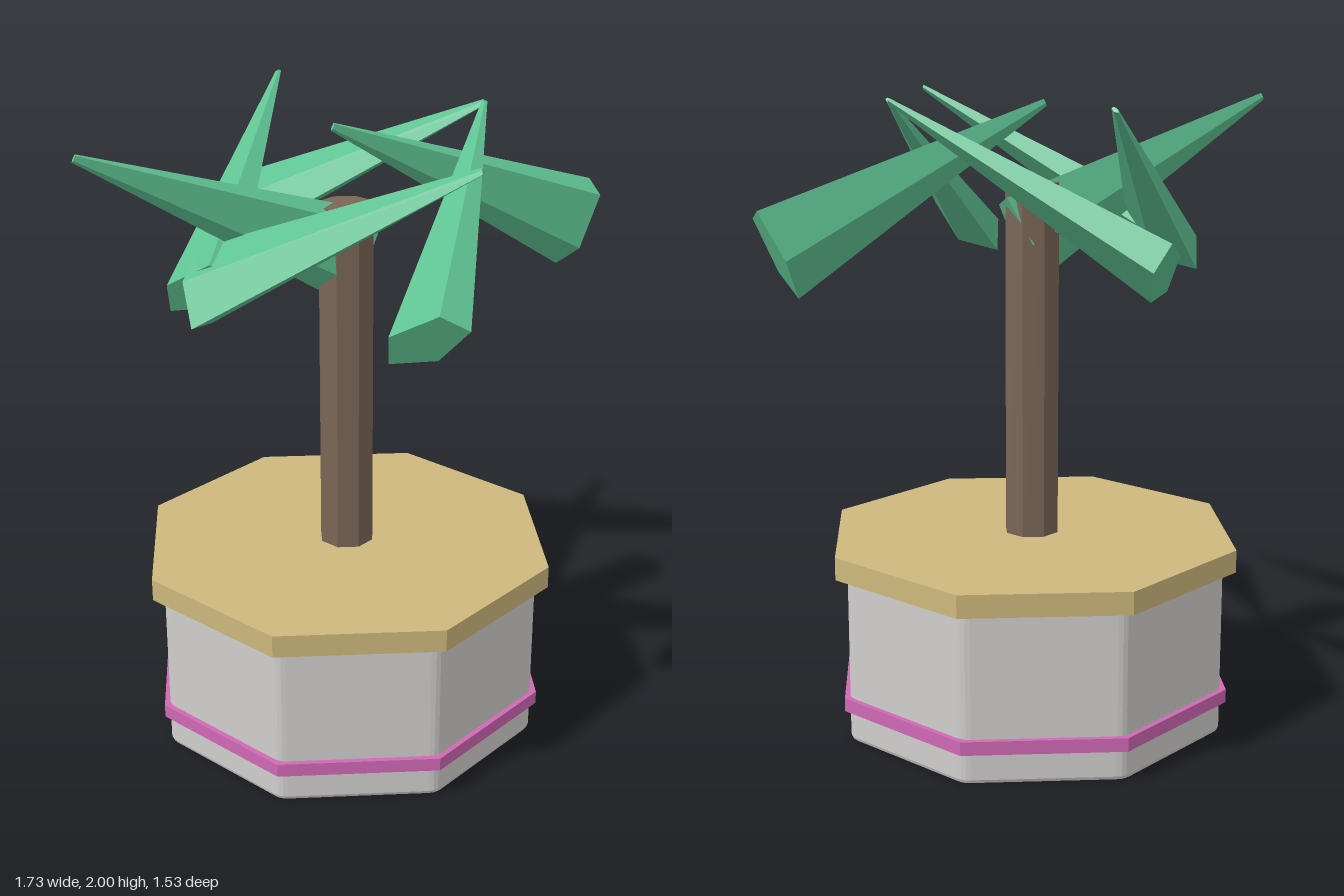
import * as THREE from 'three';

const mat = (name, color) => {
  const m = new THREE.MeshStandardMaterial({ color });
  m.name = name;
  m.flatShading = true;
  return m;
};

export function createModel() {
  const model = new THREE.Group();
  model.name = 'pottedPalm';

  const potGrey = mat('potGrey', 0xd0cfcd);
  const sand = mat('sand', 0xcdb87c);
  const pink = mat('pink', 0xd068b5);
  const bark = mat('bark', 0x7a6656);
  const leafGreen = mat('leafGreen', 0x5fc293);

  const CX = -0.032; // pot and trunk axis

  const add = (name, geometry, material, x = 0, y = 0) => {
    const mesh = new THREE.Mesh(geometry, material);
    mesh.name = name;
    mesh.position.set(x, y, 0);
    model.add(mesh);
  };
  const octagon = (name, r, y0, y1, material) =>
    add(name, new THREE.CylinderGeometry(r, r, y1 - y0, 8), material, CX, (y0 + y1) / 2);

  // Pot: octagon with softened corners and bevelled rim
  const R = 0.634;
  const corner = (i) => new THREE.Vector2(Math.cos(i * Math.PI / 4), Math.sin(i * Math.PI / 4)).multiplyScalar(R);
  const outline = new THREE.Shape();
  for (let i = 0; i < 8; i++) {
    const c = corner(i);
    const a = c.clone().lerp(corner(i - 1), 0.05);
    const b = c.clone().lerp(corner(i + 1), 0.05);
    if (i === 0) outline.moveTo(a.x, a.y);
    else outline.lineTo(a.x, a.y);
    outline.quadraticCurveTo(c.x, c.y, b.x, b.y);
  }
  outline.closePath();
  const bevel = 0.015;
  const pot = new THREE.ExtrudeGeometry(outline, {
    depth: 0.55 - 2 * bevel, curveSegments: 3,
    bevelThickness: bevel, bevelSize: bevel, bevelOffset: -bevel, bevelSegments: 2,
  });
  pot.translate(0, 0, bevel).rotateX(-Math.PI / 2);
  add('pot', pot, potGrey, CX);

  octagon('potBand', 0.652, 0.102, 0.145, pink);
  octagon('sandTop', 0.673, 0.538, 0.61, sand);
  octagon('trunk', 0.088, 0.6, 1.73, bark);

  // Leaf: flattened five-sided taper from tip to base, "wide" being its broad direction
  const leaf = (tip, base, wide) => {
    const d = base.clone().sub(tip);
    const length = d.length();
    d.normalize();
    const l = wide.clone().addScaledVector(d, -wide.dot(d)).normalize();
    const n = new THREE.Vector3().crossVectors(l, d);
    const geometry = new THREE.CylinderGeometry(0.013, 0.155, length, 5, 1, false, THREE.MathUtils.degToRad(25));
    geometry.scale(0.5, 1, 1);
    const frame = new THREE.Matrix4().makeBasis(n, d.clone().negate(), l);
    frame.setPosition(tip.clone().add(base).multiplyScalar(0.5));
    return geometry.applyMatrix4(frame);
  };

  const V = (x, y, z) => new THREE.Vector3(x, y, z);
  // Each direction has two parallel leaves, the second moved by "shift"
  const pairs = [{ tip: V(-0.075, 1.97, 0), base: V(0.8, 1.562, 0), wide: V(0.41, 0.88, 0), shift: V(-0.79, 0, 0) }];
  for (const s of [1, -1]) {
    pairs.push({
      tip: V(0.437, 1.988, 0), base: V(-0.119, 1.531, 0.665 * s),
      wide: V(0.44, 0.555, 0.7 * s), shift: V(-0.39, 0, -0.667 * s),
    });
  }
  pairs.forEach(({ tip, base, wide, shift }, i) => {
    add(`leaf${2 * i + 1}`, leaf(tip, base, wide), leafGreen);
    add(`leaf${2 * i + 2}`, leaf(tip.clone().add(shift), base.clone().add(shift), wide), leafGreen);
  });

  return model;
}
